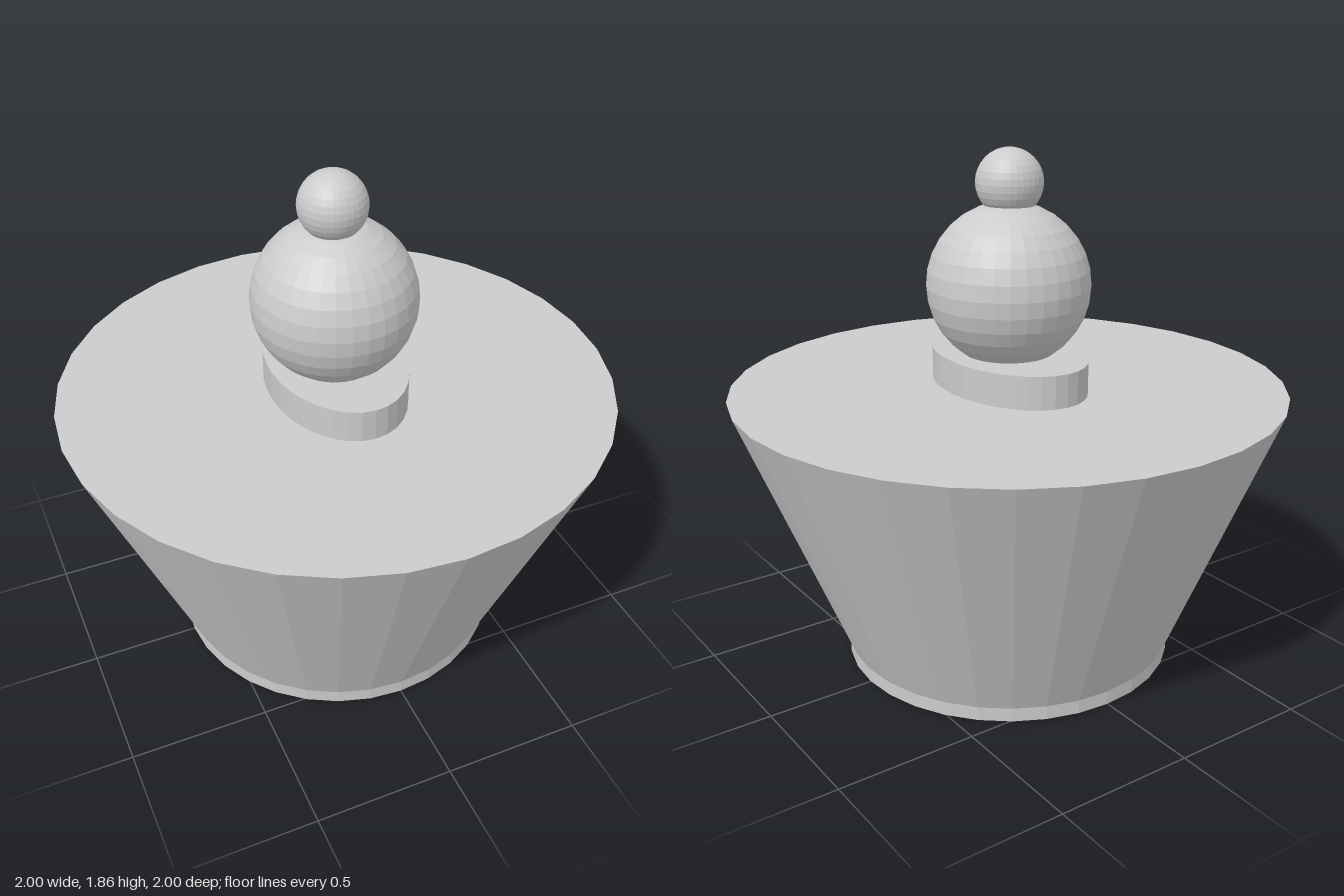
import * as THREE from 'three';

const SIDES = 32;

export function createModel() {
  const group = new THREE.Group();
  const material = new THREE.MeshStandardMaterial({ color: 0xcccccc, flatShading: true });

  function addPart(name, geometry, x, y, z) {
    const mesh = new THREE.Mesh(geometry, material);
    mesh.name = name;
    mesh.position.set(x, y, z);
    group.add(mesh);
    return mesh;
  }

  // Flared body with a short foot band and a conical recess underneath
  const profile = [
    [0, 0.25], [0.28, 0.25], [0.6, 0], [0.607, 0],
    [0.607, 0.05], [1, 1.02], [0, 1.02],
  ].map(([r, y]) => new THREE.Vector2(r, y));
  addPart('body', new THREE.LatheGeometry(profile, SIDES), 0, 0, 0);

  // Tapered plug hanging inside the recess
  addPart('plug', new THREE.CylinderGeometry(0.228, 0.208, 0.18, SIDES), 0, 0.18, 0);

  // Oval plinth on the flat top
  const plinth = addPart('plinth', new THREE.CylinderGeometry(1, 1, 0.13, SIDES), -0.01, 1.075, 0.01);
  plinth.scale.set(0.24, 1, 0.35);

  // Two stacked balls, each sunk a little into the part below
  addPart('largeBall', new THREE.SphereGeometry(0.293, SIDES, 16), -0.01, 1.385, 0.01);
  addPart('smallBall', new THREE.SphereGeometry(0.12, SIDES, 16), -0.02, 1.743, 0.02);

  return group;
}
